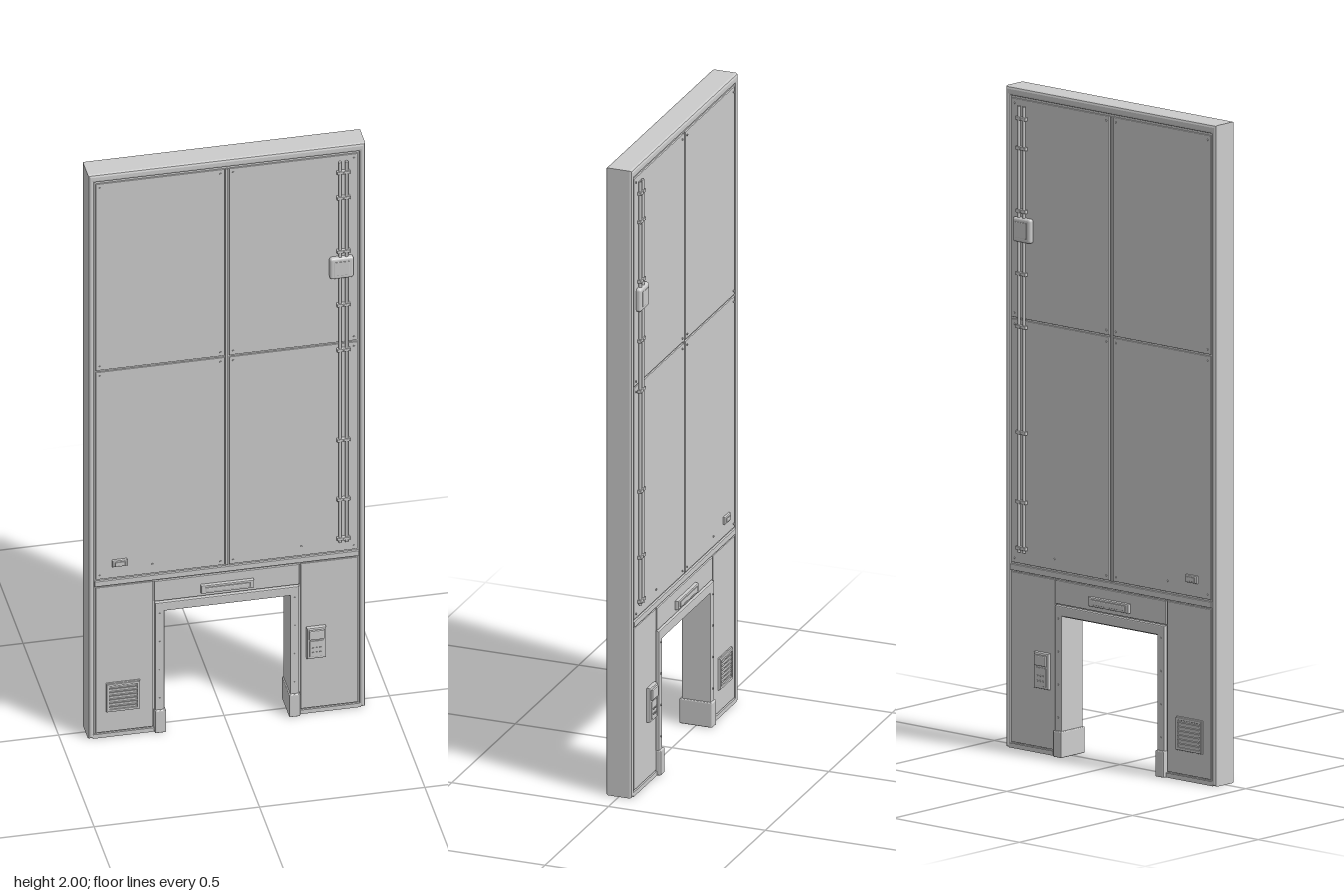
import * as THREE from 'three';
import { RoundedBoxGeometry } from 'three/addons/geometries/RoundedBoxGeometry.js';

const grey = new THREE.MeshStandardMaterial({ color: 0xcccccc, flatShading: true });
const smooth = new THREE.MeshStandardMaterial({ color: 0xcccccc });

export function createModel() {
  const root = new THREE.Group();
  root.name = 'doorwayWallPanel';

  function add(name, geometry, x, y, z, parent = root, material = grey) {
    const mesh = new THREE.Mesh(geometry, material);
    mesh.name = name;
    mesh.position.set(x, y, z);
    parent.add(mesh);
    return mesh;
  }

  // Extrude an outline to +-half in z, with a chamfer kept inside the outline
  function slab(points, half, bevel = 0) {
    const shape = new THREE.Shape(points.map(p => new THREE.Vector2(...p)));
    const geometry = new THREE.ExtrudeGeometry(shape, {
      depth: 2 * (half - bevel), bevelEnabled: bevel > 0,
      bevelThickness: bevel, bevelSize: bevel, bevelOffset: -bevel, bevelSegments: 2,
    });
    return geometry.translate(0, 0, -(half - bevel));
  }

  // Upside-down U outline: outer and inner half widths and heights
  const arch = (xo, yo, xi, yi) => [
    [-xo, 0], [-xi, 0], [-xi, yi], [xi, yi], [xi, 0], [xo, 0], [xo, yo], [-xo, yo],
  ];

  // Core wall, rounded outer rim and lining of the doorway
  add('wallCore', slab(arch(0.41, 1.985, 0.2, 0.44), 0.035), 0, 0, 0);
  add('outerRim', slab(arch(0.419, 2, 0.4, 1.972), 0.042, 0.008), 0, 0, 0);
  add('doorFrame', slab(arch(0.218, 0.458, 0.19, 0.428), 0.047, 0.003), 0, 0, 0);
  for (const sx of [-1, 1]) {
    add('doorFoot', new RoundedBoxGeometry(0.034, 0.08, 0.106, 2, 0.004), sx * 0.203, 0.04, 0);
    add('bottomSill', new THREE.BoxGeometry(0.19, 0.014, 0.082), sx * 0.31, 0.007, 0);
  }
  // Ribs under the lintel
  for (let i = -3; i <= 3; i++)
    add('lintelRib', new THREE.BoxGeometry(0.37, 0.005, 0.005), 0, 0.4265, i * 0.011);

  for (const s of [1, -1]) {
    const face = new THREE.Group();
    face.name = s > 0 ? 'frontFace' : 'backFace';
    root.add(face);

    // Chamfered plate between two corners, from inside the core out to depth z1
    function plate(name, x0, x1, y0, y1, z1, z0 = 0.03, bevel = 0.002) {
      const w = (x1 - x0) / 2, h = (y1 - y0) / 2;
      const outline = [[-w, -h], [w, -h], [w, h], [-w, h]];
      return add(name, slab(outline, (z1 - z0) / 2, bevel), (x0 + x1) / 2, (y0 + y1) / 2, s * (z0 + z1) / 2, face);
    }
    function bolt(x, y, z = 0.041, r = 0.003) {
      const geometry = new THREE.CylinderGeometry(r, r, 0.004, 8).rotateX(Math.PI / 2);
      add('bolt', geometry, x, y, s * z, face);
    }

    // Four large panels, separated by grooves, with corner bolts
    for (const sx of [-1, 1]) {
      for (const [y0, y1] of [[0.562, 1.298], [1.304, 1.966]]) {
        const xs = [sx * 0.007, sx * 0.396].sort((a, b) => a - b);
        plate('upperPanel', xs[0], xs[1], y0, y1, 0.04);
        for (const x of [xs[0] + 0.012, xs[1] - 0.012])
          for (const y of [y0 + 0.014, y1 - 0.014]) bolt(x, y);
      }
    }
    plate('centreStrip', -0.004, 0.004, 0.56, 1.966, 0.039, 0.03, 0.001);
    plate('middleRail', -0.4, 0.4, 0.538, 0.556, 0.042);

    // Lower panels beside the doorway and above it
    plate('lowerPanelRight', -0.396, -0.223, 0.018, 0.533, 0.04);
    plate('lowerPanelLeft', 0.223, 0.396, 0.018, 0.533, 0.04);
    plate('lintelPanel', -0.219, 0.219, 0.462, 0.533, 0.042);
    for (const sx of [-1, 1]) {
      for (const y of [0.12, 0.22, 0.32, 0.42]) bolt(sx * 0.204, y, 0.047);
      bolt(sx * 0.225, 0.595);
    }

    // Lamp over the doorway
    plate('lampBase', -0.08, 0.08, 0.476, 0.504, 0.053, 0.036, 0.003);
    plate('lampLens', -0.068, 0.068, 0.482, 0.498, 0.056, 0.045, 0.003);

    // Twin pipes with clamps and a junction box
    for (const x of [0.341, 0.361])
      add('pipe', new THREE.CylinderGeometry(0.005, 0.005, 1.35, 10), x, 1.272, s * 0.045, face, smooth);
    for (const y of [0.61, 0.75, 0.96, 1.28, 1.44, 1.63, 1.82, 1.91]) {
      plate('pipeClamp', 0.331, 0.371, y - 0.005, y + 0.005, 0.0515, 0.036, 0.0015);
      bolt(0.351, y, 0.051, 0.002);
    }
    const box = new RoundedBoxGeometry(0.072, 0.074, 0.02, 3, 0.008);
    add('junctionBox', box, 0.345, 1.574, s * 0.045, face);
    plate('junctionCover', 0.322, 0.368, 1.55, 1.598, 0.0565, 0.05, 0.002);

    // Control unit with display and keys
    plate('controlUnit', 0.24, 0.298, 0.198, 0.307, 0.052, 0.034, 0.004);
    plate('controlHood', 0.246, 0.292, 0.268, 0.3, 0.058, 0.045, 0.003);
    plate('controlFace', 0.248, 0.29, 0.206, 0.262, 0.054, 0.045, 0.002);
    for (let i = 0; i < 6; i++)
      bolt(0.258 + (i % 3) * 0.011, 0.222 + Math.floor(i / 3) * 0.016, 0.0545);

    // Louvred vent
    plate('ventBase', -0.366, -0.262, 0.09, 0.192, 0.044, 0.034, 0.003);
    for (const [x0, x1, y0, y1] of [
      [-0.364, -0.356, 0.092, 0.19], [-0.272, -0.264, 0.092, 0.19],
      [-0.364, -0.264, 0.092, 0.1], [-0.364, -0.264, 0.182, 0.19],
    ]) plate('ventFrame', x0, x1, y0, y1, 0.048, 0.038, 0.0015);
    for (let i = 0; i < 6; i++) {
      const slat = add('ventSlat', new THREE.BoxGeometry(0.084, 0.009, 0.003), -0.314, 0.109 + i * 0.0128, s * 0.0455, face);
      slat.rotation.x = s * 0.5;
    }

    // Small socket low on the large panel
    plate('socket', -0.347, -0.302, 0.604, 0.627, 0.048, 0.036, 0.003);
    plate('socketCap', -0.34, -0.309, 0.609, 0.622, 0.051, 0.044, 0.002);
  }
  return root;
}
